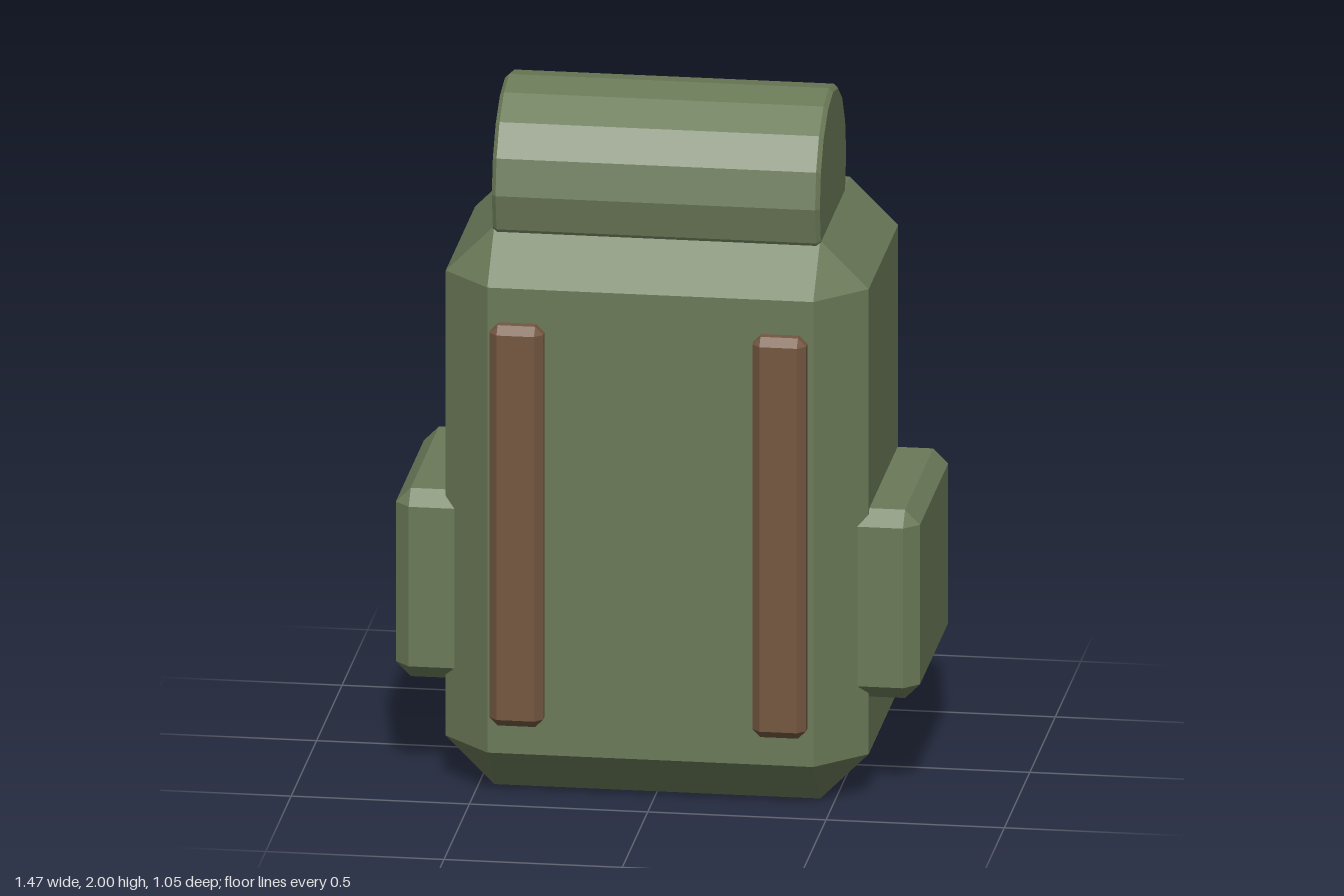
import * as THREE from 'three';
import { ConvexGeometry } from 'three/addons/geometries/ConvexGeometry.js';

const material = (color) => new THREE.MeshStandardMaterial({ color, flatShading: true });

// Box between two corners with every edge cut at 45 degrees by c
function chamferBox(min, max, c) {
  const lo = new THREE.Vector3(...min), hi = new THREE.Vector3(...max);
  const mid = lo.clone().add(hi).multiplyScalar(0.5);
  const half = hi.clone().sub(lo).multiplyScalar(0.5);
  const points = [];
  for (const sx of [-1, 1]) for (const sy of [-1, 1]) for (const sz of [-1, 1])
    for (const axis of [0, 1, 2]) {
      const inset = [0, 1, 2].map((i) => (i === axis ? 0 : c));
      points.push(new THREE.Vector3(
        mid.x + sx * (half.x - inset[0]),
        mid.y + sy * (half.y - inset[1]),
        mid.z + sz * (half.z - inset[2])));
    }
  return new ConvexGeometry(points);
}

// Closed cylinder along y with bevelled rims
function bevelCylinder(radius, length, bevel, sides) {
  const h = length / 2;
  return new THREE.LatheGeometry([
    new THREE.Vector2(0, -h),
    new THREE.Vector2(radius - bevel, -h),
    new THREE.Vector2(radius, -h + bevel),
    new THREE.Vector2(radius, h - bevel),
    new THREE.Vector2(radius - bevel, h),
    new THREE.Vector2(0, h),
  ], sides);
}

export function createModel() {
  const group = new THREE.Group();
  const canvas = material(0x6b7a58), leather = material(0x735740), metal = material(0x3e3f45);
  const add = (name, geometry, mat) => {
    const mesh = new THREE.Mesh(geometry, mat);
    mesh.name = name;
    group.add(mesh);
    return mesh;
  };

  // Main bag
  add('body', chamferBox([-0.593, 0, -0.4], [0.593, 1.63, 0.45], 0.136), canvas);

  // Bedroll sunk into the top
  const roll = add('bedroll', bevelCylinder(0.27, 0.92, 0.012, 16), canvas);
  roll.rotation.z = Math.PI / 2;
  roll.position.set(0, 1.73, 0.083);

  // Back pocket
  add('backPocket', chamferBox([-0.342, 0.283, -0.523], [0.342, 0.768, -0.39], 0.047), canvas);

  // Mirrored parts: side pockets, shoulder straps, pocket buckles
  for (const [side, s] of [['left', 1], ['right', -1]]) {
    const mirrored = (x0, x1, y0, y1, z0, z1, c) => chamferBox(
      [Math.min(s * x0, s * x1), y0, z0], [Math.max(s * x0, s * x1), y1, z1], c);
    add(side + 'SidePocket', mirrored(0.45, 0.735, 0.3, 0.85, -0.295, 0.342, 0.042), canvas);
    add(side + 'ShoulderStrap', mirrored(0.293, 0.444, 0.233, 1.402, 0.45, 0.522, 0.023), leather);

    const buckle = add(side + 'Buckle', bevelCylinder(0.037, 0.032, 0.008, 8), metal);
    buckle.rotation.x = Math.PI / 2;
    buckle.position.set(s * 0.368, 0.51, -0.498);
  }

  // Horizontal straps across the back
  [0.41, 0.785, 1.145].forEach((y, i) => add('backStrap' + (i + 1),
    chamferBox([-0.507, y - 0.031, -0.443], [0.507, y + 0.031, -0.413], 0.01), leather));

  return group;
}
